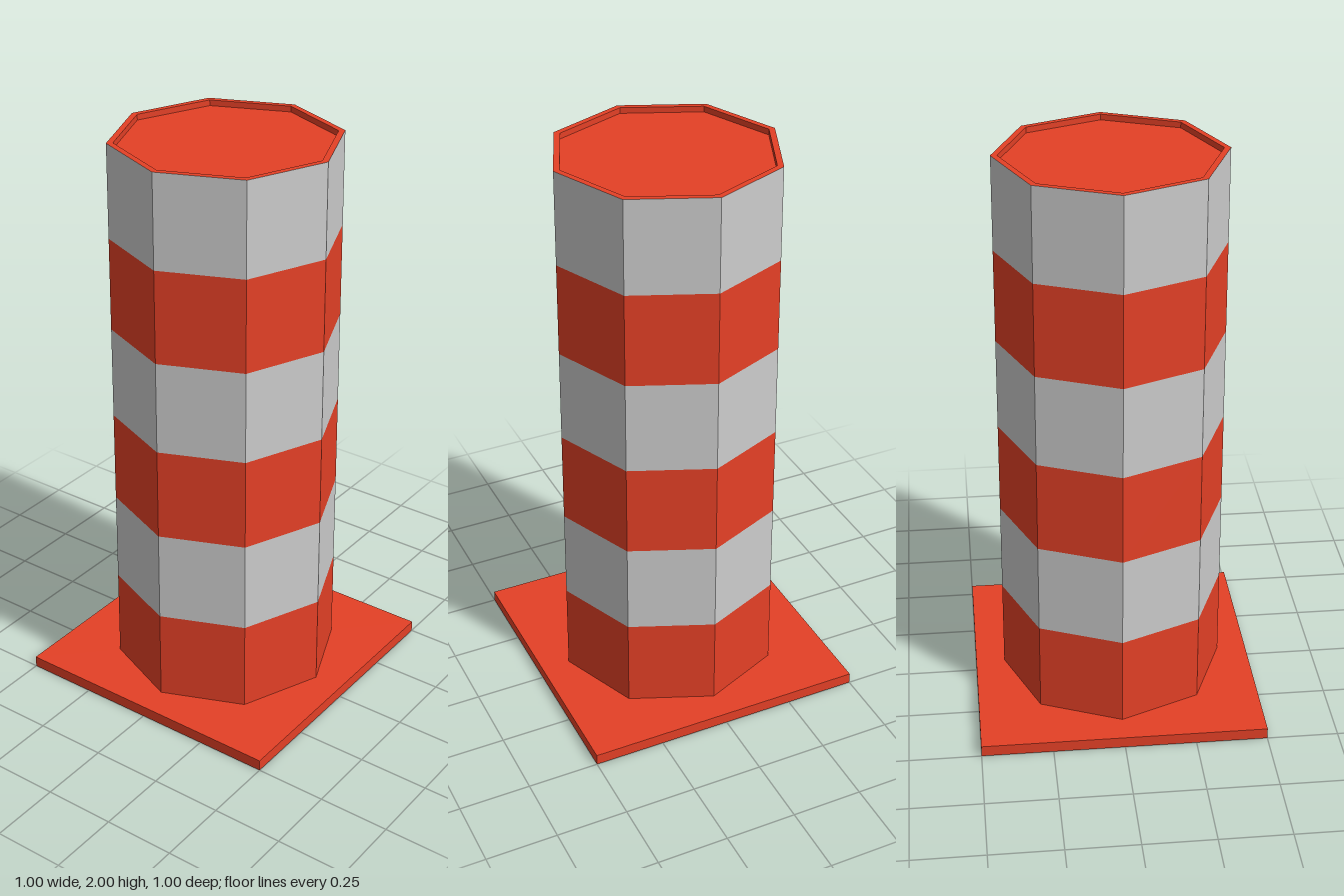
import * as THREE from 'three';

const BASE_H = 0.04, TOP = 2, R_BOTTOM = 0.397, R_TOP = 0.387, R_INNER = 0.365;
const RECESS = 0.02, BANDS = 6, SIDES = 8;

export function createModel() {
  const model = new THREE.Group();
  model.name = 'trafficBarrel';
  const orange = new THREE.MeshStandardMaterial({ color: 0xe44026, flatShading: true });
  const grey = new THREE.MeshStandardMaterial({ color: 0xcccccc, flatShading: true });

  const add = (name, geometry, material, y) => {
    const mesh = new THREE.Mesh(geometry, material);
    mesh.name = name;
    mesh.position.y = y;
    model.add(mesh);
    return mesh;
  };

  // Square foot plate
  add('basePlate', new THREE.BoxGeometry(1, BASE_H, 1), orange, BASE_H / 2);

  // Slightly tapered octagonal body in alternating bands
  const h = (TOP - BASE_H) / BANDS;
  const radius = (i) => THREE.MathUtils.lerp(R_BOTTOM, R_TOP, i / BANDS);
  for (let i = 0; i < BANDS; i++) {
    const band = new THREE.CylinderGeometry(radius(i + 1), radius(i), h, SIDES, 1, true);
    add(i % 2 ? `reflectiveBand${i + 1}` : `orangeBand${i + 1}`, band, i % 2 ? grey : orange, BASE_H + h * (i + 0.5));
  }

  // Flat rim, short inner wall and sunken lid, turned as one profile
  const lid = [[R_TOP, 0], [R_INNER, 0], [R_INNER, -RECESS], [0, -RECESS]]
    .map(([x, y]) => new THREE.Vector2(x, y));
  add('recessedLid', new THREE.LatheGeometry(lid, SIDES), orange, TOP).material = new THREE.MeshStandardMaterial({
    color: 0xe44026, flatShading: true, side: THREE.DoubleSide,
  });

  return model;
}
